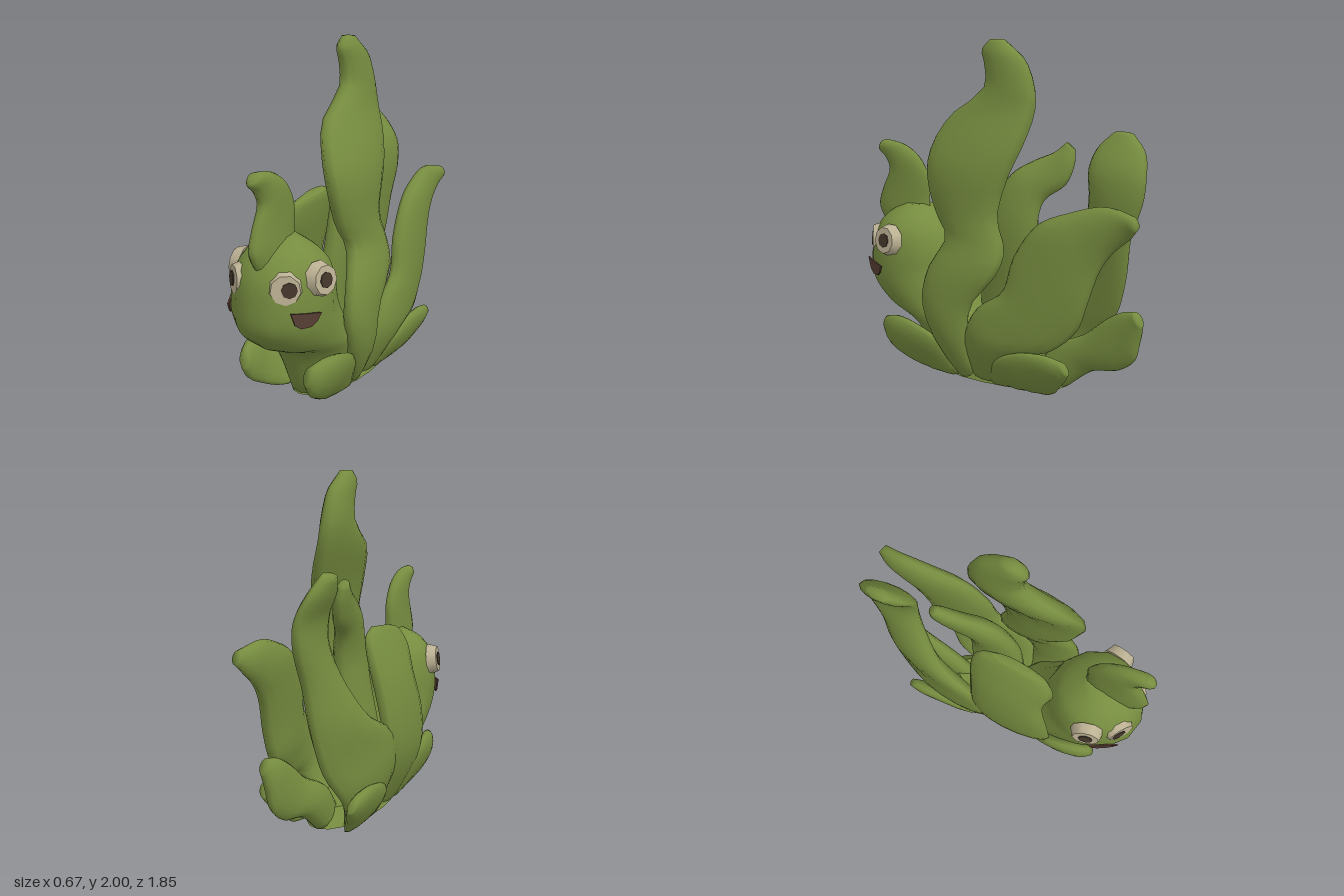
import * as THREE from 'three';

const green = new THREE.MeshStandardMaterial({ color: 0x768c3f });
green.name = 'leaf green';
const cream = new THREE.MeshStandardMaterial({ color: 0xbdb294 });
cream.name = 'eye cream';
const brown = new THREE.MeshStandardMaterial({ color: 0x46382c });
brown.name = 'pupil brown';
const maroon = new THREE.MeshStandardMaterial({ color: 0x583f34 });
maroon.name = 'mouth maroon';

// Closed loft between two edge curves.
// Each station: [zA, yA, zB, yB, xA, halfThickness, xB (same as xA if left out)]
function loft(stations, rings = 28, sides = 14) {
  const curve = (f) => new THREE.CatmullRomCurve3(stations.map(f));
  const edgeA = curve((s) => new THREE.Vector3(s[4], s[1], s[0]));
  const edgeB = curve((s) => new THREE.Vector3(s[6] ?? s[4], s[3], s[2]));
  const thick = curve((s, i) => new THREE.Vector3(s[5], i, 0));
  const centre = (u) => edgeA.getPoint(u).add(edgeB.getPoint(u)).multiplyScalar(0.5);
  const pos = [];
  const index = [];
  const push = (p) => pos.push(p.x, Math.max(0, p.y), p.z);
  for (let i = 0; i <= rings; i++) {
    const u = i / rings;
    const c = centre(u);
    const w = edgeA.getPoint(u).sub(edgeB.getPoint(u)).multiplyScalar(0.5);
    const tan = centre(Math.min(1, u + 0.02)).sub(centre(Math.max(0, u - 0.02)));
    const n = tan.cross(w).normalize().multiplyScalar(thick.getPoint(u).x);
    for (let j = 0; j < sides; j++) {
      const a = (j / sides) * Math.PI * 2;
      push(c.clone().addScaledVector(w, Math.cos(a)).addScaledVector(n, Math.sin(a)));
    }
  }
  for (let i = 0; i < rings; i++) {
    for (let j = 0; j < sides; j++) {
      const k = (j + 1) % sides;
      const a = i * sides + j, b = i * sides + k;
      index.push(a, b, a + sides, b, b + sides, a + sides);
    }
  }
  // End caps
  const start = (rings + 1) * sides;
  push(centre(0));
  push(centre(1));
  for (let j = 0; j < sides; j++) {
    const k = (j + 1) % sides;
    index.push(start, k, j, start + 1, rings * sides + j, rings * sides + k);
  }
  const g = new THREE.BufferGeometry();
  g.setAttribute('position', new THREE.Float32BufferAttribute(pos, 3));
  g.setIndex(index);
  g.computeVertexNormals();
  return g;
}

const tallLeaf = [
  [0.22, 0, 0.1, 0, 0.14, 0.05], [0.36, 0.3, 0.1, 0.25, 0.25, 0.065],
  [0.41, 0.5, 0.07, 0.48, 0.265, 0.07], [0.37, 0.68, -0.09, 0.68, 0.25, 0.07],
  [0.28, 0.86, -0.12, 0.82, 0.2, 0.075], [0.36, 1.0, -0.06, 1.0, 0.18, 0.08],
  [0.43, 1.22, -0.13, 1.25, 0.17, 0.09], [0.42, 1.38, -0.2, 1.42, 0.13, 0.085],
  [0.33, 1.55, -0.24, 1.6, 0.07, 0.08], [0.1, 1.73, -0.23, 1.72, 0.05, 0.075],
  [0.1, 1.86, -0.17, 1.88, 0.045, 0.065], [0.12, 1.94, -0.09, 1.95, 0.04, 0.055],
  [0.06, 2.0, -0.02, 2.0, 0.04, 0.035],
];
const backLeaf = [
  [0.13, 0.02, -0.1, 0, 0.14, 0.05], [0.12, 0.3, -0.2, 0.22, 0.25, 0.06],
  [0.02, 0.48, -0.42, 0.28, 0.27, 0.06, 0.24], [-0.14, 0.6, -0.58, 0.42, 0.26, 0.07, 0.2],
  [-0.2, 0.8, -0.64, 0.58, 0.24, 0.07, 0.2], [-0.34, 1.0, -0.7, 0.77, 0.22, 0.07, 0.18],
  [-0.52, 1.08, -0.77, 0.88, 0.19, 0.065, 0.17], [-0.72, 1.13, -0.87, 0.97, 0.175, 0.05],
  [-0.89, 1.1, -0.92, 1.03, 0.2, 0.03],
];
const rearLowLeaf = [
  [-0.2, 0.05, -0.43, 0, 0, 0.06], [-0.35, 0.24, -0.6, 0.13, 0, 0.06],
  [-0.55, 0.35, -0.76, 0.17, 0.02, 0.055], [-0.68, 0.46, -0.86, 0.25, 0.03, 0.05],
  [-0.78, 0.52, -0.89, 0.36, 0.04, 0.045], [-0.86, 0.54, -0.91, 0.47, 0.06, 0.03],
];
const paddleLeaf = [
  [0.05, 0, -0.35, 0, -0.14, 0.05], [0.03, 0.3, -0.5, 0.2, -0.27, 0.06, -0.2],
  [-0.02, 0.5, -0.66, 0.42, -0.28, 0.065, -0.16], [-0.3, 0.68, -0.73, 0.66, -0.24, 0.07, -0.13],
  [-0.45, 0.92, -0.76, 0.9, -0.15, 0.065, -0.11], [-0.5, 1.12, -0.83, 1.12, -0.1, 0.06],
  [-0.49, 1.28, -0.84, 1.25, -0.11, 0.055], [-0.52, 1.4, -0.81, 1.38, -0.17, 0.05],
  [-0.6, 1.48, -0.72, 1.48, -0.21, 0.035],
];
const middleLeaf = [
  [0.2, 0, -0.05, 0, -0.05, 0.06], [0.2, 0.4, -0.15, 0.35, -0.07, 0.08],
  [0.15, 0.75, -0.2, 0.75, -0.03, 0.08], [0.1, 1.0, -0.21, 0.92, -0.02, 0.075],
  [-0.02, 1.22, -0.24, 1.08, -0.05, 0.07], [-0.16, 1.31, -0.36, 1.18, -0.09, 0.055],
  [-0.27, 1.36, -0.4, 1.3, -0.12, 0.045], [-0.34, 1.42, -0.39, 1.38, -0.14, 0.03],
];
const shortLeaf = [
  [0.35, 0, 0, 0, -0.14, 0.05], [0.44, 0.3, -0.05, 0.3, -0.26, 0.06],
  [0.42, 0.55, -0.1, 0.5, -0.27, 0.065], [0.36, 0.8, -0.12, 0.75, -0.23, 0.07],
  [0.4, 0.95, -0.13, 0.95, -0.18, 0.06], [0.34, 1.05, -0.1, 1.06, -0.15, 0.045],
  [0.22, 1.09, 0, 1.11, -0.14, 0.03],
];
const frontBaseLeaf = [
  [0.2, 0.02, 0.42, 0, 0.17, 0.04, 0.13], [0.3, 0.22, 0.5, 0.02, 0.25, 0.045, 0.16],
  [0.45, 0.31, 0.6, 0.07, 0.28, 0.05, 0.19], [0.6, 0.335, 0.69, 0.13, 0.26, 0.05, 0.2],
  [0.71, 0.31, 0.735, 0.21, 0.22, 0.03, 0.2],
];
const sideBaseLeaf = [
  [0, 0.03, -0.3, 0, 0.18, 0.04, 0.13], [-0.1, 0.19, -0.42, 0.01, 0.28, 0.045, 0.17],
  [-0.25, 0.265, -0.49, 0.08, 0.3, 0.045, 0.22], [-0.42, 0.28, -0.54, 0.14, 0.3, 0.04, 0.25],
  [-0.53, 0.26, -0.57, 0.19, 0.29, 0.025, 0.27],
];
const head = [
  [0.48, 0, 0, 0, 0, 0.16], [0.6, 0.3, 0.05, 0.25, 0, 0.24],
  [0.8, 0.4, 0.2, 0.45, 0, 0.265], [0.92, 0.53, 0.3, 0.62, 0, 0.275],
  [0.925, 0.68, 0.33, 0.75, 0, 0.275], [0.89, 0.83, 0.38, 0.86, 0, 0.25],
  [0.8, 0.94, 0.45, 0.93, 0, 0.18], [0.68, 1.0, 0.55, 1.0, 0, 0.08],
];
const sprout = [
  [0.86, 0.85, 0.5, 0.85, 0, 0.06], [0.92, 0.96, 0.53, 1.0, 0, 0.055],
  [0.89, 1.07, 0.53, 1.16, 0, 0.05], [0.83, 1.2, 0.6, 1.28, 0, 0.05],
  [0.86, 1.27, 0.7, 1.35, 0, 0.045], [0.91, 1.32, 0.8, 1.375, 0, 0.04],
  [0.9, 1.35, 0.86, 1.38, 0, 0.025],
];

export function createModel() {
  const model = new THREE.Group();
  const add = (name, geometry, material = green, parent = model) => {
    const mesh = new THREE.Mesh(geometry, material);
    mesh.name = name;
    parent.add(mesh);
    return mesh;
  };

  // Root mound
  const mound = add('rootMound', new THREE.CylinderGeometry(0.8, 1, 0.1, 20));
  mound.scale.set(0.2, 1, 0.46);
  mound.position.set(0, 0.05, 0.03);

  // Head and leaves
  const parts = { head, sprout, tallLeaf, backLeaf, rearLowLeaf, paddleLeaf, middleLeaf, shortLeaf };
  for (const [name, stations] of Object.entries(parts)) add(name, loft(stations));

  // Features that face outward from the head
  const facing = (name, p, n) => {
    const g = new THREE.Group();
    g.name = name;
    g.position.set(...p);
    g.lookAt(p[0] + n[0], p[1] + n[1], p[2] + n[2]);
    model.add(g);
    return g;
  };
  const eyeball = new THREE.CylinderGeometry(0.08, 0.1, 0.06, 9).rotateX(Math.PI / 2);
  const pupil = new THREE.CylinderGeometry(0.043, 0.043, 0.009, 8).rotateX(Math.PI / 2);
  const mouthShape = new THREE.Shape();
  mouthShape.moveTo(-0.09, 0.045);
  mouthShape.lineTo(-0.065, -0.025);
  mouthShape.lineTo(-0.03, -0.05);
  mouthShape.lineTo(0.03, -0.05);
  mouthShape.lineTo(0.065, -0.025);
  mouthShape.lineTo(0.09, 0.02);
  mouthShape.lineTo(0, 0.03);
  const mouth = new THREE.ExtrudeGeometry(mouthShape, { depth: 0.009, bevelEnabled: false });

  for (const s of [1, -1]) {
    const side = s > 0 ? 'left' : 'right';
    const mirrored = (stations) => stations.map((r) => r.map((v, i) => (i === 4 || i === 6 ? v * s : v)));
    add(side + 'FrontBaseLeaf', loft(mirrored(frontBaseLeaf), 16));
    add(side + 'SideBaseLeaf', loft(mirrored(sideBaseLeaf), 16));

    const eyes = [
      ['FrontEye', [0.15 * s, 0.78, 0.825], [0.6 * s, 0.06, 0.8], 0.02],
      ['SideEye', [0.268 * s, 0.805, 0.66], [0.95 * s, 0.12, 0.2], 0],
    ];
    for (const [name, p, n, shift] of eyes) {
      const eye = facing(side + name, p, n);
      add('eyeball', eyeball, cream, eye);
      add('pupil', pupil, brown, eye).position.set(shift * s, 0, 0.031);
    }
    const m = facing(side + 'Mouth', [0.24 * s, 0.62, 0.775], [0.88 * s, -0.05, 0.47]);
    add('mouthPlate', mouth, maroon, m);
  }
  return model;
}
